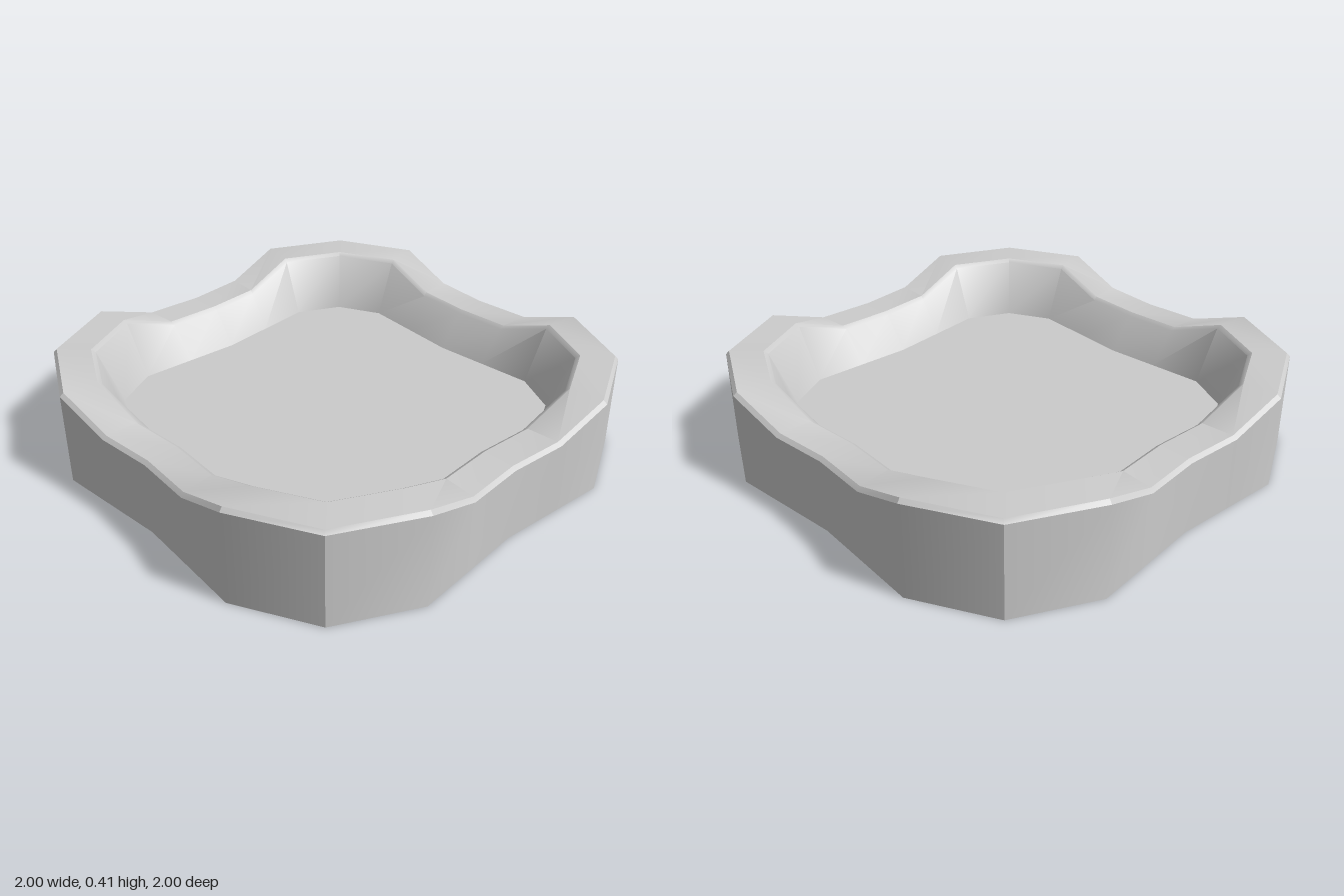
import * as THREE from 'three';
import { toCreasedNormals } from 'three/addons/utils/BufferGeometryUtils.js';

// One closed ring: each side has two shoulders, a lowered waist, and a chamfered corner.
function ring({ shoulder, notch, mid, corner, high, low }) {
  const [sx, sz] = shoulder;
  const nz = mid + (sz - mid) * (notch / sx);
  const side = [
    [-sx, high, sz], [-notch, low, nz], [0, low, mid],
    [notch, low, nz], [sx, high, sz], [corner, high, corner],
  ];
  const points = [];
  for (let k = 0; k < 4; k++) {
    for (const [x, y, z] of side) {
      const [rx, rz] = [[x, z], [z, -x], [-x, -z], [-z, x]][k];
      points.push([rx, y, rz]);
    }
  }
  return points;
}

// Joins consecutive rings with quads and closes both ends with a flat fan.
function skin(rings) {
  const n = rings[0].length;
  const pos = [];
  const tri = (...corners) => corners.forEach((c) => pos.push(...c));
  for (let r = 0; r < rings.length - 1; r++) {
    const a = rings[r], b = rings[r + 1];
    for (let i = 0; i < n; i++) {
      const j = (i + 1) % n;
      tri(a[i], a[j], b[j]);
      tri(a[i], b[j], b[i]);
    }
  }
  const first = rings[0], last = rings[rings.length - 1];
  for (let i = 0; i < n; i++) {
    const j = (i + 1) % n;
    tri([0, first[0][1], 0], first[j], first[i]);
    tri([0, last[0][1], 0], last[i], last[j]);
  }
  const geometry = new THREE.BufferGeometry();
  geometry.setAttribute('position', new THREE.Float32BufferAttribute(pos, 3));
  geometry.computeVertexNormals();
  return toCreasedNormals(geometry, 0.6);
}

export function createModel() {
  const group = new THREE.Group();
  group.name = 'dish';

  const outer = { shoulder: [0.5, 1], notch: 0.25, mid: 0.96, corner: 0.83 };
  const rings = [
    // base and outer wall
    { ...outer, high: 0, low: 0 },
    { ...outer, high: 0.4, low: 0.313 },
    // bevelled rim
    { shoulder: [0.495, 0.985], notch: 0.245, mid: 0.945, corner: 0.82, high: 0.415, low: 0.328 },
    { shoulder: [0.47, 0.845], notch: 0.235, mid: 0.815, corner: 0.718, high: 0.415, low: 0.328 },
    { shoulder: [0.465, 0.828], notch: 0.23, mid: 0.797, corner: 0.705, high: 0.402, low: 0.315 },
    // floor of the basin
    { shoulder: [0.45, 0.73], notch: 0.22, mid: 0.695, corner: 0.635, high: 0.17, low: 0.17 },
  ].map(ring);

  const bowl = new THREE.Mesh(skin(rings), new THREE.MeshStandardMaterial({ color: 0xcccccc }));
  bowl.name = 'bowl';
  group.add(bowl);
  return group;
}
